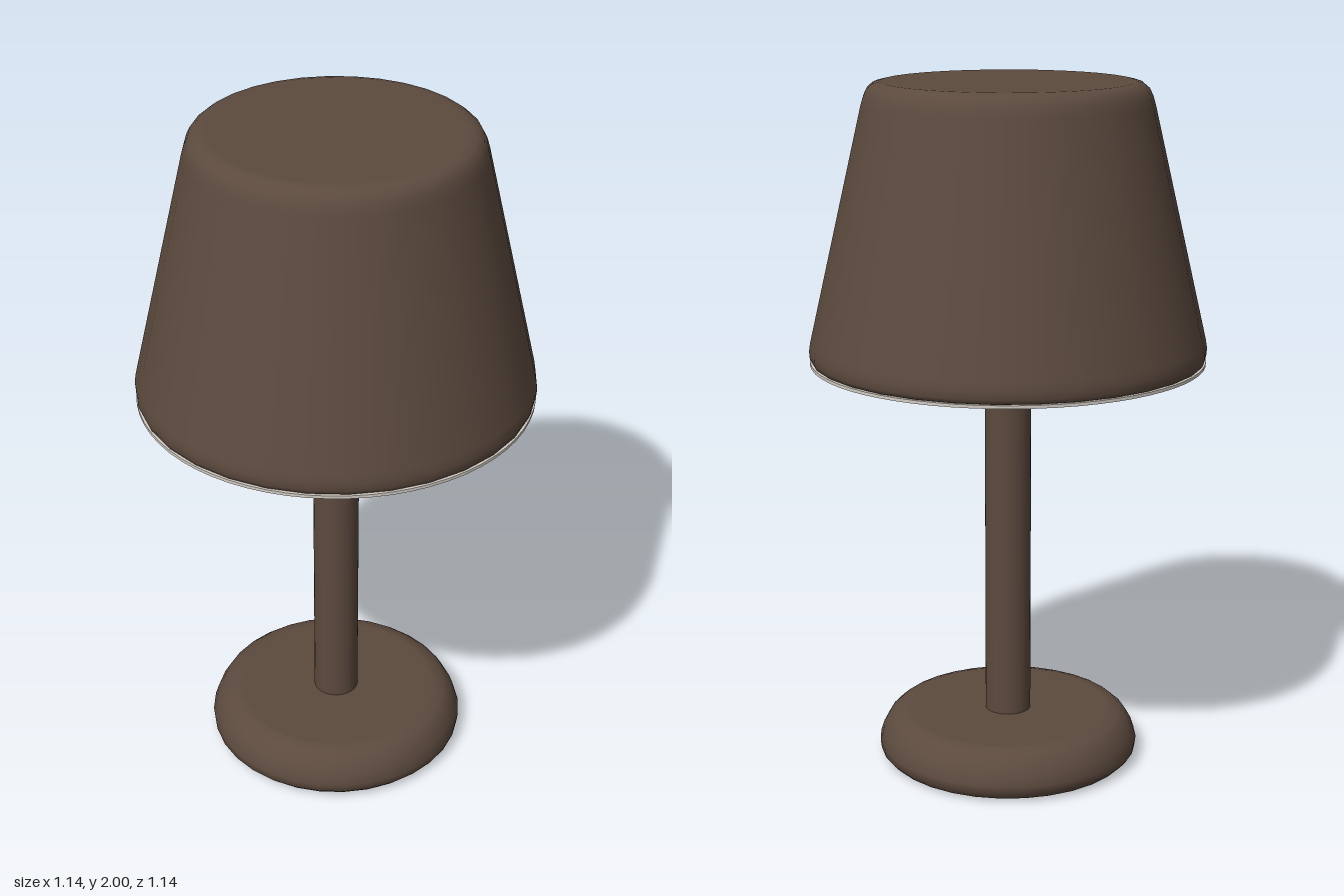
import * as THREE from 'three';

const SEGMENTS = 32;

export function createModel() {
  const brown = new THREE.MeshStandardMaterial({ color: 0x5c4a3e });
  brown.name = 'brown';
  const paleMetal = new THREE.MeshStandardMaterial({ color: 0xd2cbc3 });
  paleMetal.name = 'paleMetal';

  const lamp = new THREE.Group();
  lamp.name = 'tableLamp';

  // Turned part: profile of [radius, height], running from bottom to top
  const turn = (name, profile, material) => {
    const points = profile.map(([r, y]) => new THREE.Vector2(r, y));
    const mesh = new THREE.Mesh(new THREE.LatheGeometry(points, SEGMENTS), material);
    mesh.name = name;
    lamp.add(mesh);
  };

  // Rounded disc foot
  turn('base', [
    [0, 0], [0.325, 0], [0.335, 0], [0.365, 0.007], [0.382, 0.025], [0.385, 0.05],
    [0.375, 0.08], [0.358, 0.11], [0.335, 0.13], [0.305, 0.138], [0.295, 0.138], [0, 0.138],
  ], brown);

  // Straight stem
  const stem = new THREE.Mesh(
    new THREE.CylinderGeometry(0.067, 0.067, 1.09, SEGMENTS, 1, true), brown);
  stem.name = 'stem';
  stem.position.y = 0.13 + 1.09 / 2;
  lamp.add(stem);

  // Collar where the stem meets the shade
  turn('collar', [
    [0.066, 1.196], [0.072, 1.196], [0.076, 1.203], [0.076, 1.216],
  ], paleMetal);

  // Tapered shade with softened edges and a closed underside
  turn('shade', [
    [0, 1.213], [0.54, 1.213], [0.55, 1.213], [0.562, 1.218], [0.567, 1.23],
    [0.568, 1.25], [0.564, 1.275], [0.41, 1.935], [0.402, 1.962], [0.392, 1.982],
    [0.376, 1.995], [0.355, 2], [0.345, 2], [0, 2],
  ], brown);

  // Thin pale rim under the shade
  const ring = new THREE.Shape().absarc(0, 0, 0.566, 0, Math.PI * 2);
  ring.holes.push(new THREE.Path().absarc(0, 0, 0.541, 0, Math.PI * 2, true));
  const rim = new THREE.Mesh(
    new THREE.ExtrudeGeometry(ring, { depth: 0.009, bevelEnabled: false, curveSegments: SEGMENTS }),
    paleMetal);
  rim.name = 'shadeRim';
  rim.rotation.x = -Math.PI / 2;
  rim.position.y = 1.207;
  lamp.add(rim);

  return lamp;
}
